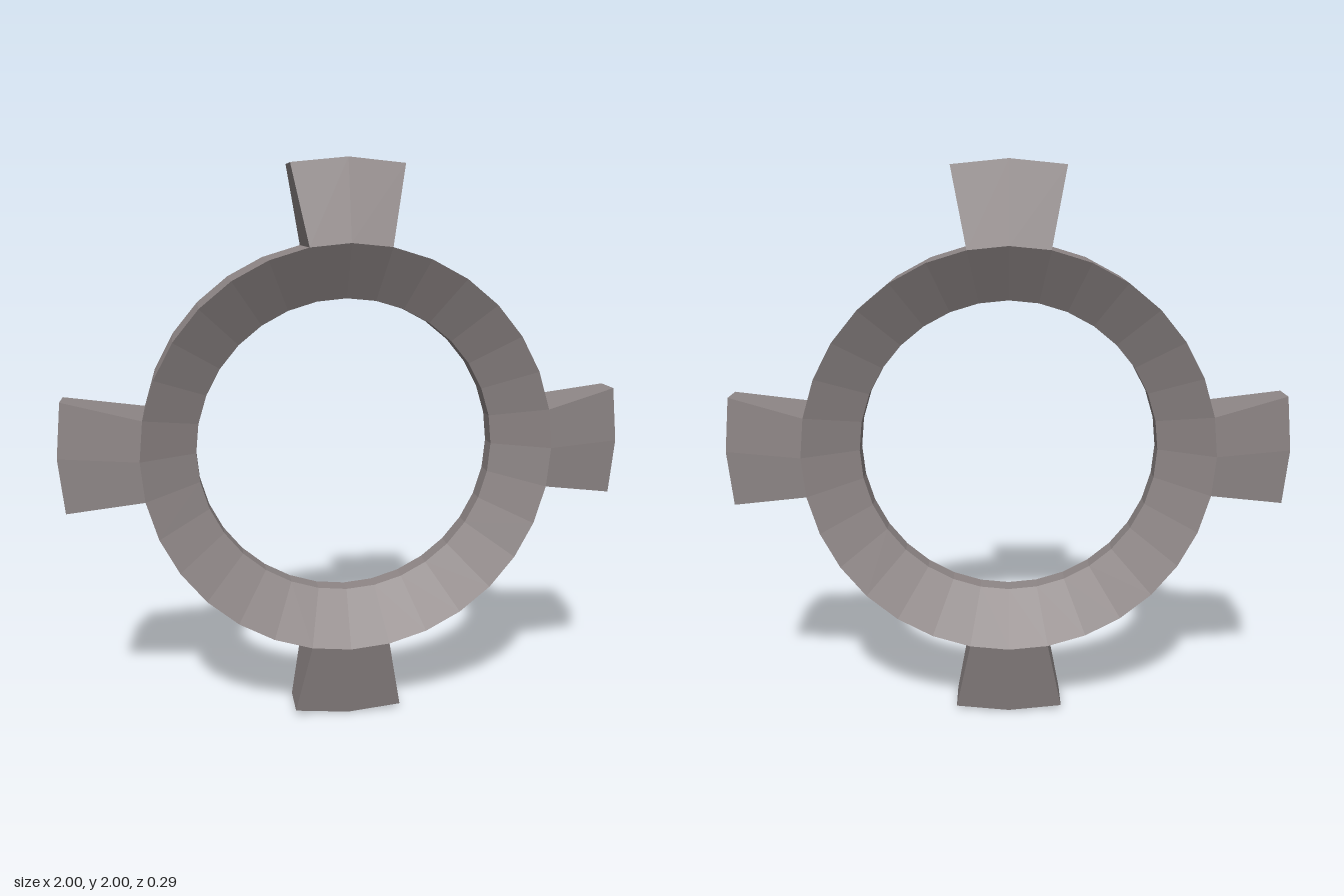
import * as THREE from 'three';

const SEGMENTS = 32;
const STEP = (Math.PI * 2) / SEGMENTS;
const OUTER = 0.72, INNER = 0.53, TIP = 1;
const RIM_HALF = 0.147, BORE_HALF = 0.035;

// Ring with faces that slope inwards to a narrow bore
function ringGeometry() {
  const profile = [
    [OUTER, -RIM_HALF], [OUTER, RIM_HALF], [INNER, BORE_HALF],
    [INNER, -BORE_HALF], [OUTER, -RIM_HALF],
  ].map(([r, z]) => new THREE.Vector2(r, z));
  return new THREE.LatheGeometry(profile, SEGMENTS).rotateX(Math.PI / 2);
}

// Tooth: a box bent round the ring, flaring outwards and tapering in depth
function toothGeometry(tipHalf) {
  const geometry = new THREE.BoxGeometry(2, 1, 2, 2, 1, 1);
  const p = geometry.attributes.position;
  for (let i = 0; i < p.count; i++) {
    const angle = p.getX(i) * STEP;
    const atTip = p.getY(i) > 0;
    const r = atTip ? TIP : OUTER;
    const z = Math.sign(p.getZ(i)) * (atTip ? tipHalf : RIM_HALF);
    p.setXYZ(i, r * Math.sin(angle), r * Math.cos(angle), z);
  }
  geometry.computeVertexNormals();
  return geometry;
}

export function createModel() {
  const metal = new THREE.MeshStandardMaterial({ color: 0x8f8787, flatShading: true });
  metal.name = 'warm grey metal';

  const model = new THREE.Group();
  model.name = 'toothedRing';

  const ring = new THREE.Mesh(ringGeometry(), metal);
  ring.name = 'ring';
  model.add(ring);

  // Four teeth; the side pair has thinner tips
  ['topTooth', 'rightTooth', 'bottomTooth', 'leftTooth'].forEach((name, i) => {
    const tooth = new THREE.Mesh(toothGeometry(i % 2 ? 0.055 : 0.075), metal);
    tooth.name = name;
    tooth.rotation.z = (i * Math.PI) / 2;
    model.add(tooth);
  });
  model.getObjectByName('rightTooth').name = 'temporary';
  model.getObjectByName('leftTooth').name = 'rightTooth';
  model.getObjectByName('temporary').name = 'leftTooth';

  model.position.y = 1;
  return model;
}
